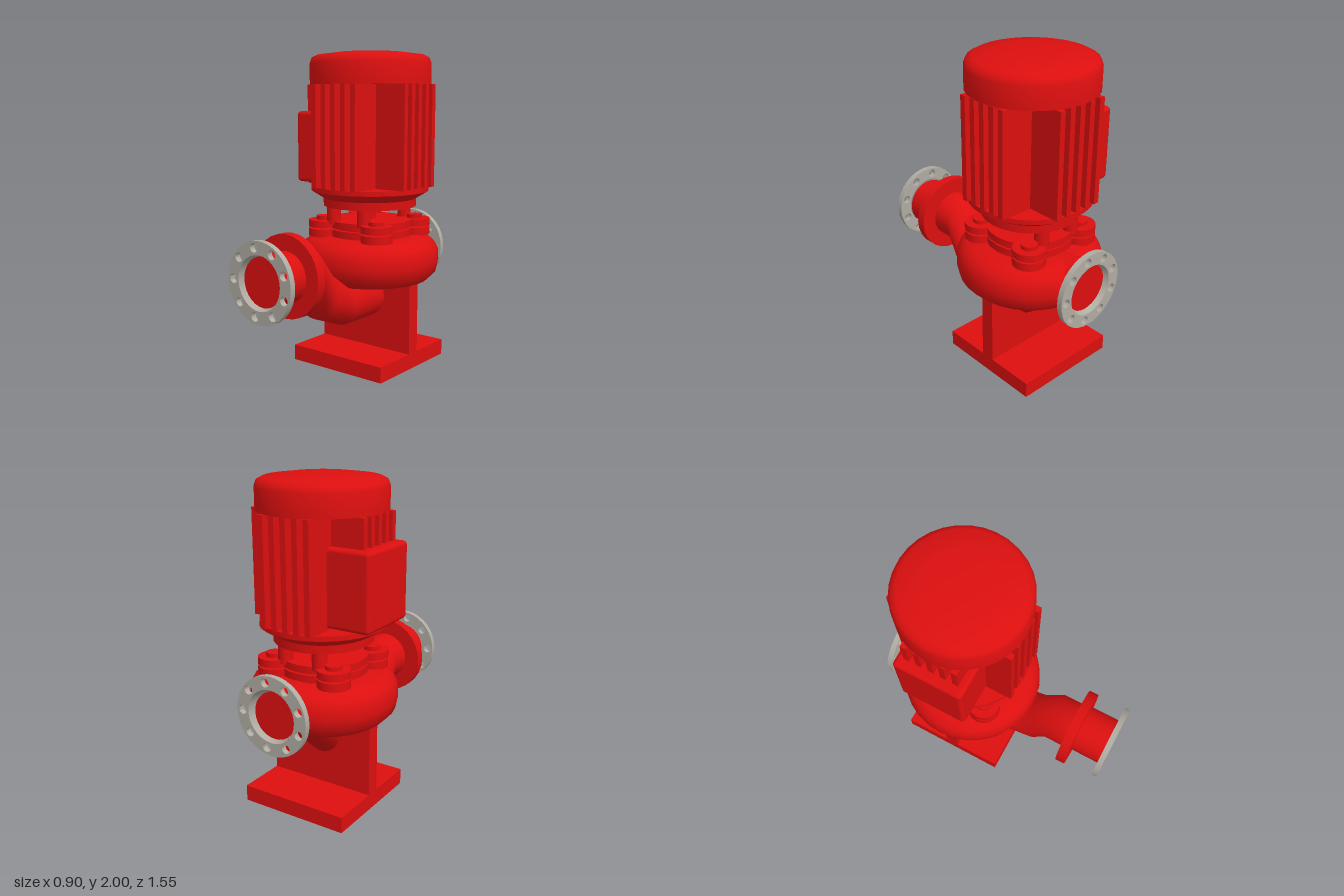
import * as THREE from 'three';
import { toCreasedNormals } from 'three/addons/utils/BufferGeometryUtils.js';
import { RoundedBoxGeometry } from 'three/addons/geometries/RoundedBoxGeometry.js';

const AXIS_Z = -0.26; // vertical pump and motor axis
const PORT_Y = 0.705; // height of both pipe ports

export function createModel() {
  const model = new THREE.Group();
  model.name = 'verticalPump';
  const red = new THREE.MeshStandardMaterial({ color: 0xdd0f0f });
  red.name = 'redPaint';
  const steel = new THREE.MeshStandardMaterial({ color: 0xb0aca2 });
  steel.name = 'bareSteel';

  function add(name, geometry, x = 0, y = 0, z = 0, material = red, parent = model) {
    const mesh = new THREE.Mesh(geometry, material);
    mesh.name = name;
    mesh.position.set(x, y, z);
    parent.add(mesh);
    return mesh;
  }
  const box = (w, h, d) => new THREE.BoxGeometry(w, h, d);
  const lathe = (points, sides = 32, crease = 0.75) => toCreasedNormals(
    new THREE.LatheGeometry(points.map(p => new THREE.Vector2(...p)), sides), crease);
  // Upright cylinder standing between two heights
  function post(name, r, y0, y1, x, z, sides = 16) {
    return add(name, new THREE.CylinderGeometry(r, r, y1 - y0, sides), x, (y0 + y1) / 2, z);
  }
  // Cylinder lying along z between two depths
  function barrel(name, r, z0, z1, x, y) {
    const g = new THREE.CylinderGeometry(r, r, z1 - z0, 28).rotateX(Math.PI / 2);
    return add(name, g, x, y, (z0 + z1) / 2);
  }

  // Foot plate and upright support
  add('basePlate', box(0.7, 0.1, 0.7), 0, 0.05, AXIS_Z);
  add('supportWall', box(0.7, 0.48, 0.09), 0, 0.34, AXIS_Z);

  // Pump casing
  add('volute', lathe([[0, 0.54], [0.3, 0.54], [0.385, 0.56], [0.435, 0.61], [0.45, 0.68],
    [0.445, 0.75], [0.425, 0.79], [0.385, 0.825], [0.31, 0.84], [0, 0.84]]), 0, 0, AXIS_Z);

  // Inlet pipe: elliptical rings given by top (z, y) and bottom (z, y)
  const rings = [
    [0.55, 0.85, 0.55, 0.55], [0.36, 0.85, 0.36, 0.55], [0.2, 0.66, 0.3, 0.39],
    [0.07, 0.6, 0.07, 0.3], [-0.22, 0.6, -0.3, 0.3], [-0.25, 0.62, -0.56, 0.545],
  ];
  add('inletElbow', loft(rings, 0.152, 28));
  barrel('inletSpool', 0.153, 0.54, 0.742, 0.008, 0.7);
  barrel('inletCollar', 0.25, 0.49, 0.55, 0, 0.7);
  barrel('outletPipe', 0.147, -0.742, -0.45, 0, 0.697);

  // Steel port flanges, front and back
  const disc = new THREE.Shape().absarc(0, 0, 0.24, 0, Math.PI * 2);
  disc.holes.push(new THREE.Path().absarc(0, 0, 0.16, 0, Math.PI * 2, true));
  for (let i = 0; i < 9; i++) {
    const a = Math.PI + i * Math.PI * 2 / 9;
    disc.holes.push(new THREE.Path().absarc(Math.cos(a) * 0.2, Math.sin(a) * 0.2, 0.027, 0, Math.PI * 2, true));
  }
  const flangeGeometry = toCreasedNormals(
    new THREE.ExtrudeGeometry(disc, { depth: 0.035, bevelEnabled: false, curveSegments: 18 }), 0.75);
  const boreGeometry = lathe([[0.16, 0.035], [0.146, 0], [0.13, -0.025], [0.09, -0.05], [0, -0.065]], 28, 1.2)
    .rotateX(Math.PI / 2);
  for (const [name, side] of [['inletFlange', 1], ['outletFlange', -1]]) {
    const flange = new THREE.Group();
    flange.name = name;
    flange.position.set(0.01, PORT_Y, side * 0.74);
    flange.rotation.y = side > 0 ? 0 : Math.PI;
    add('flangeRing', flangeGeometry, 0, 0, 0, steel, flange);
    add('flangeBore', boreGeometry, 0, 0, 0, steel, flange);
    model.add(flange);
  }

  // Two stacked cover plates with bolted corner lugs
  post('coverHub', 0.24, 0.83, 0.935, 0, AXIS_Z, 24);
  for (const [y0, y1] of [[0.835, 0.885], [0.895, 0.94]]) {
    post('coverPlate', 0.27, y0, y1, 0, AXIS_Z, 24);
    for (const sx of [-1, 1]) for (const sz of [-1, 1]) {
      post('coverLug', 0.1, y0, y1, sx * 0.21, AXIS_Z + sz * 0.21);
    }
  }
  // Cover bolts and lantern columns
  for (const sx of [-1, 1]) for (const sz of [-1, 1]) {
    post('coverBolt', 0.05, 0.93, 0.965, sx * 0.21, AXIS_Z + sz * 0.21);
    post('lanternColumn', 0.045, 0.92, 1.04, sx * 0.12, AXIS_Z + sz * 0.22);
  }
  post('driveShaft', 0.042, 0.92, 1.04, 0, AXIS_Z);

  // Motor: bell, core, crossed cooling fins and cap
  add('motorBell', lathe([[0, 1.03], [0.3, 1.03], [0.3, 1.08], [0.38, 1.13], [0.38, 1.16], [0, 1.16]], 32, 0.4),
    0, 0, AXIS_Z);
  post('motorCore', 0.235, 1.15, 1.81, 0, AXIS_Z, 24);
  for (let i = -2; i <= 2; i++) {
    add('coolingFin', box(0.036, 0.64, 0.76), i * 0.076, 1.48, AXIS_Z);
    add('coolingFin', box(0.76, 0.64, 0.036), 0, 1.48, AXIS_Z + i * 0.076);
  }
  add('motorCap', lathe([[0, 1.8], [0.385, 1.8], [0.385, 1.93], [0.372, 1.965], [0.34, 1.982],
    [0.2, 2], [0, 2]], 32, 1), 0, 0, AXIS_Z);

  // Terminal box on the motor's right side
  add('terminalBox', new RoundedBoxGeometry(0.3, 0.46, 0.43, 2, 0.025), -0.29, 1.4, AXIS_Z);

  return model;
}

// Skin a row of elliptical rings running from front to back
function loft(rings, halfWidth, sides) {
  const positions = [], index = [];
  for (const [zt, yt, zb, yb] of rings) {
    for (let j = 0; j < sides; j++) {
      const a = j / sides * Math.PI * 2, s = Math.sin(a) / 2;
      positions.push(Math.cos(a) * halfWidth, (yt + yb) / 2 + s * (yt - yb), (zt + zb) / 2 + s * (zt - zb));
    }
  }
  for (let i = 0; i < rings.length - 1; i++) {
    for (let j = 0; j < sides; j++) {
      const k = (j + 1) % sides, a = i * sides, b = a + sides;
      index.push(a + j, b + j, a + k, a + k, b + j, b + k);
    }
  }
  const g = new THREE.BufferGeometry();
  g.setAttribute('position', new THREE.Float32BufferAttribute(positions, 3));
  g.setIndex(index);
  return toCreasedNormals(g, 1);
}
